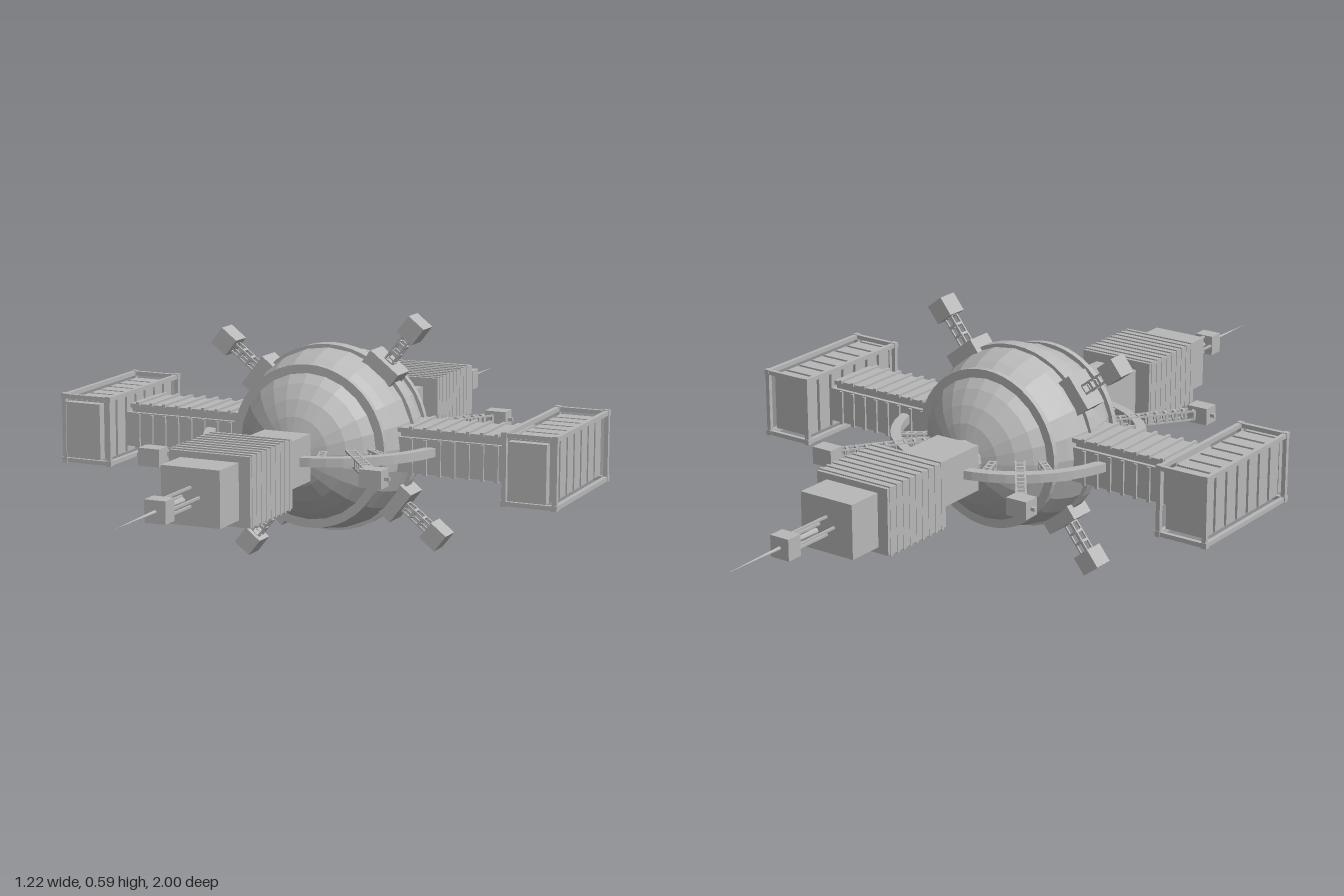
import * as THREE from 'three';

const hull = new THREE.MeshStandardMaterial({ color: 0xb8b8b8, flatShading: true });
hull.name = 'hull grey';

function add(parent, name, geometry, x = 0, y = 0, z = 0) {
  const m = new THREE.Mesh(geometry, hull);
  m.name = name;
  m.position.set(x, y, z);
  parent.add(m);
  return m;
}
const box = (parent, name, w, h, d, x, y, z) => add(parent, name, new THREE.BoxGeometry(w, h, d), x, y, z);
function group(parent, name) {
  const g = new THREE.Group();
  g.name = name;
  parent.add(g);
  return g;
}

// Hoop of rectangular section around the z axis
function hoop(inner, outer, depth) {
  const p = [[inner, -depth / 2], [outer, -depth / 2], [outer, depth / 2], [inner, depth / 2], [inner, -depth / 2]];
  return new THREE.LatheGeometry(p.map(([x, y]) => new THREE.Vector2(x, y)), 48).rotateX(Math.PI / 2);
}

// Open lattice boom running along +x
function truss(parent, start, end, half) {
  const len = end - start, bays = Math.round(len / 0.022);
  for (const a of [-1, 1]) for (const b of [-1, 1])
    box(parent, 'boomRail', len, 0.004, 0.004, (start + end) / 2, a * half, b * half);
  for (let i = 0; i <= bays; i++) {
    const x = start + (len * i) / bays;
    for (const s of [-1, 1]) {
      box(parent, 'boomRung', 0.006, 0.005, half * 2, x, s * half, 0);
      box(parent, 'boomRung', 0.006, half * 2, 0.005, x, 0, s * half);
    }
  }
}

// Long module along +z: neck, ribbed body, cap, node and spike
function dockingModule() {
  const g = new THREE.Group();
  add(g, 'neckCollar', new THREE.CylinderGeometry(0.045, 0.045, 0.06, 16).rotateX(Math.PI / 2), 0, 0, 0.21);
  box(g, 'neck', 0.112, 0.106, 0.17, 0, 0, 0.315);
  box(g, 'moduleBody', 0.188, 0.15, 0.2, 0, 0, 0.5);
  for (let i = 0; i < 9; i++) box(g, 'moduleRib', 0.19, 0.156, 0.008, 0, 0, 0.412 + i * 0.022);
  box(g, 'moduleCap', 0.136, 0.122, 0.085, 0, 0, 0.6425);
  for (const s of [-1, 1]) box(g, 'nodeStrut', 0.005, 0.005, 0.15, s * 0.02, 0, 0.74);
  for (const s of [-1, 1]) box(g, 'nodeStrut', 0.005, 0.005, 0.15, 0, s * 0.02, 0.74);
  box(g, 'nodeBox', 0.048, 0.048, 0.038, 0, 0, 0.817);
  add(g, 'spike', new THREE.ConeGeometry(0.007, 0.28, 8).rotateX(Math.PI / 2), 0, 0, 0.86);
  return g;
}

// Side arm along +x with a caged rack of slabs at its end
function rackArm() {
  const g = new THREE.Group();
  box(g, 'armBody', 0.32, 0.08, 0.13, 0.335, -0.012, 0);
  box(g, 'armRoof', 0.3, 0.01, 0.13, 0.335, 0.044, 0);
  for (const s of [-1, 1]) box(g, 'armRail', 0.3, 0.02, 0.012, 0.335, 0.033, s * 0.05);
  for (let i = 0; i < 8; i++) {
    const x = 0.225 + i * 0.034;
    box(g, 'armRibTop', 0.008, 0.008, 0.14, x, 0.05, 0);
    box(g, 'armRibBottom', 0.008, 0.006, 0.14, x, -0.052, 0);
    for (const s of [-1, 1]) box(g, 'armRibSide', 0.008, 0.076, 0.006, x, -0.012, s * 0.067);
  }

  const cage = group(g, 'rackCage'), cx = 0.5435, hx = 0.058, hy = 0.075, hz = 0.165, t = 0.01;
  for (const a of [-1, 1]) for (const b of [-1, 1]) {
    box(cage, 'cageRail', t, t, hz * 2, cx + a * hx, b * hy, 0);
    box(cage, 'cageBar', hx * 2, t, t, cx, a * hy, b * hz);
    box(cage, 'cagePost', t, hy * 2, t, cx + a * hx, 0, b * hz);
    for (const c of [-1, 1]) box(cage, 'cageCorner', 0.013, 0.013, 0.013, cx + a * hx, b * hy, c * hz);
  }
  for (let i = 0; i < 7; i++) box(cage, 'rackSlab', 0.096, 0.132, 0.036, cx, 0, (i - 3) * 0.045);
  box(cage, 'rackCore', 0.08, 0.11, 0.3, cx, 0, 0);
  box(cage, 'rackFrontPlate', 0.088, 0.13, 0.02, cx, 0, 0.173);
  return g;
}

export function createModel() {
  const root = new THREE.Group();
  root.name = 'spaceStation';
  const station = group(root, 'station');
  station.position.y = 0.297;

  // Central globe and its bands
  add(station, 'globe', new THREE.SphereGeometry(0.209, 24, 16).rotateX(Math.PI / 2));
  add(station, 'middleBand', hoop(0.195, 0.215, 0.03));
  for (const s of [-1, 1]) add(station, 'sideBand', hoop(0.16, 0.186, 0.014), 0, 0, s * 0.118);

  // Flat ring around the waist with its spokes
  add(station, 'waistRing', hoop(0.268, 0.291, 0.02).rotateX(Math.PI / 2));
  for (const deg of [40, 70, 110, 140, 220, 250, 290, 320]) {
    const spoke = group(station, 'ringSpoke');
    spoke.rotation.y = THREE.MathUtils.degToRad(deg);
    truss(spoke, 0.195, 0.272, 0.007);
  }

  // Modules front and back, rack arms left and right
  for (const s of [0, 1]) {
    const m = dockingModule();
    m.name = s ? 'backModule' : 'frontModule';
    m.rotation.y = s * Math.PI;
    station.add(m);

    const arm = rackArm();
    arm.name = s ? 'rightArm' : 'leftArm';
    if (s) {
      // Turn about z so the front plate stays in front, then flip the arm parts upright
      arm.children.forEach((c) => mirrorX(c));
    }
    station.add(arm);
  }

  // Level booms with sensor boxes
  for (const sx of [-1, 1]) for (const sz of [-1, 1]) {
    const boom = group(station, 'levelBoom');
    boom.rotation.y = Math.atan2(-sz * 0.36, sx * 0.265);
    truss(boom, 0.2, 0.425, 0.01);
    box(station, 'levelSensor', 0.052, 0.04, 0.04, sx * 0.265, 0, sz * 0.36);
    box(station, 'sensorPin', 0.014, 0.008, 0.008, sx * 0.295, 0, sz * 0.36);
  }

  // Upright booms with sensor boxes on saddle blocks
  for (let i = 0; i < 4; i++) {
    const boom = group(station, 'uprightBoom');
    boom.rotation.z = THREE.MathUtils.degToRad(52 + 90 * i);
    box(boom, 'saddle', 0.05, 0.085, 0.065, 0.21, 0, 0);
    truss(boom, 0.235, 0.31, 0.01);
    box(boom, 'uprightSensor', 0.046, 0.046, 0.05, 0.331, 0, 0);
  }
  return root;
}

// Every arm part is a symmetric box, so mirroring its position is enough
function mirrorX(part) {
  if (part.isMesh) part.position.x *= -1;
  else part.children.forEach(mirrorX);
}
